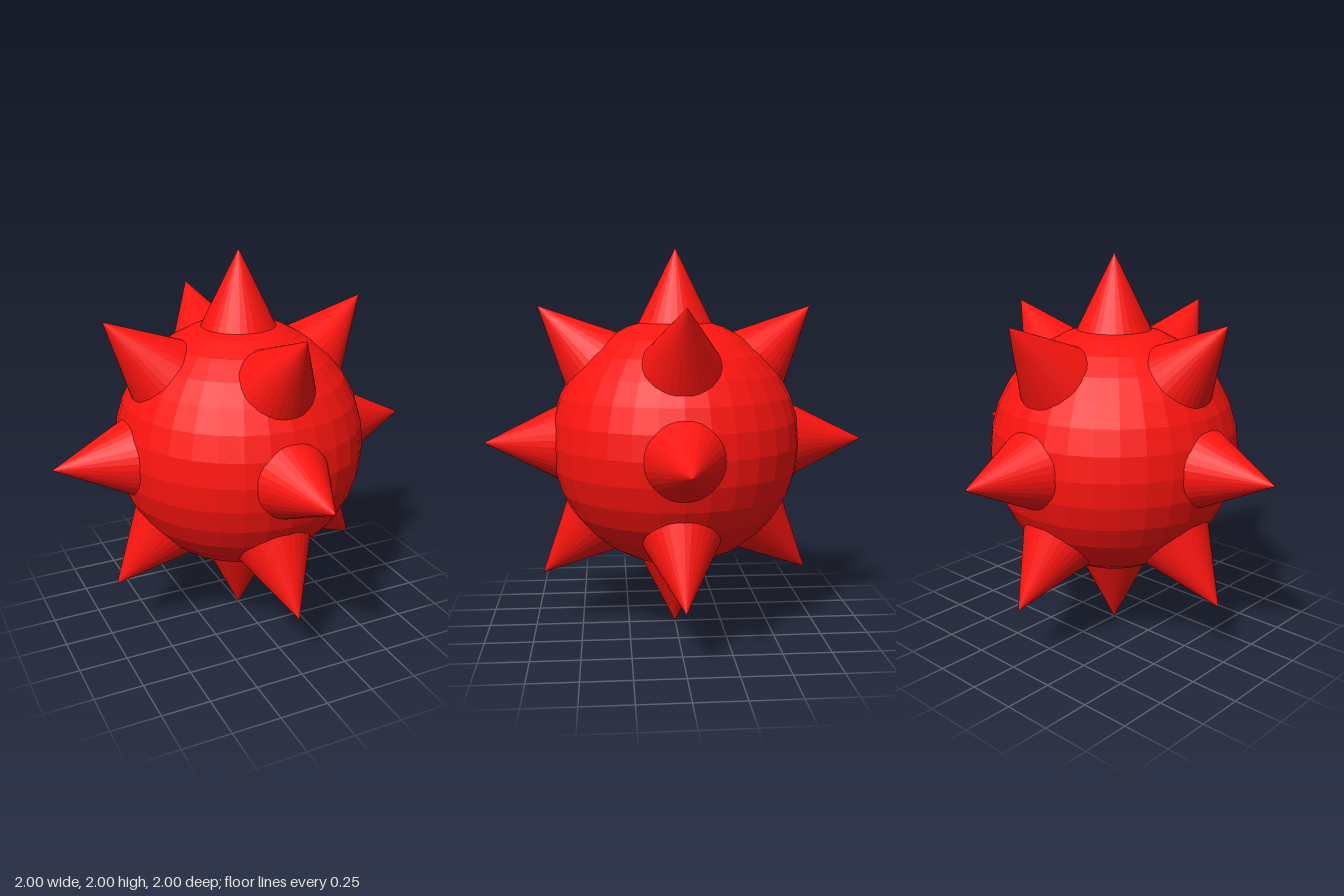
import * as THREE from 'three';

export function createModel() {
  const model = new THREE.Group();
  model.name = 'spikedBall';
  const red = new THREE.MeshStandardMaterial({ color: 0xff1510, flatShading: true });

  // Faceted round body
  const body = new THREE.Mesh(new THREE.SphereGeometry(0.65, 32, 16), red);
  body.name = 'body';
  body.position.y = 1;
  model.add(body);

  // Cone with its base sunk just below the body surface
  const spikeGeometry = new THREE.ConeGeometry(0.2, 0.4, 32);
  const up = new THREE.Vector3(0, 1, 0);
  function addSpike(name, x, y, z) {
    const direction = new THREE.Vector3(x, y, z).normalize();
    const spike = new THREE.Mesh(spikeGeometry, red);
    spike.name = name;
    spike.quaternion.setFromUnitVectors(up, direction);
    spike.position.copy(direction).multiplyScalar(0.8).add(body.position);
    model.add(spike);
  }

  // Poles, then a level, a raised and a lowered spike on each of four sides
  addSpike('topSpike', 0, 1, 0);
  addSpike('bottomSpike', 0, -1, 0);
  const sides = { left: [1, 0], right: [-1, 0], front: [0, 1], back: [0, -1] };
  for (const [side, [x, z]] of Object.entries(sides)) {
    addSpike(`${side}Spike`, x, 0, z);
    addSpike(`${side}UpperSpike`, x, 1, z);
    addSpike(`${side}LowerSpike`, x, -1, z);
  }

  return model;
}
